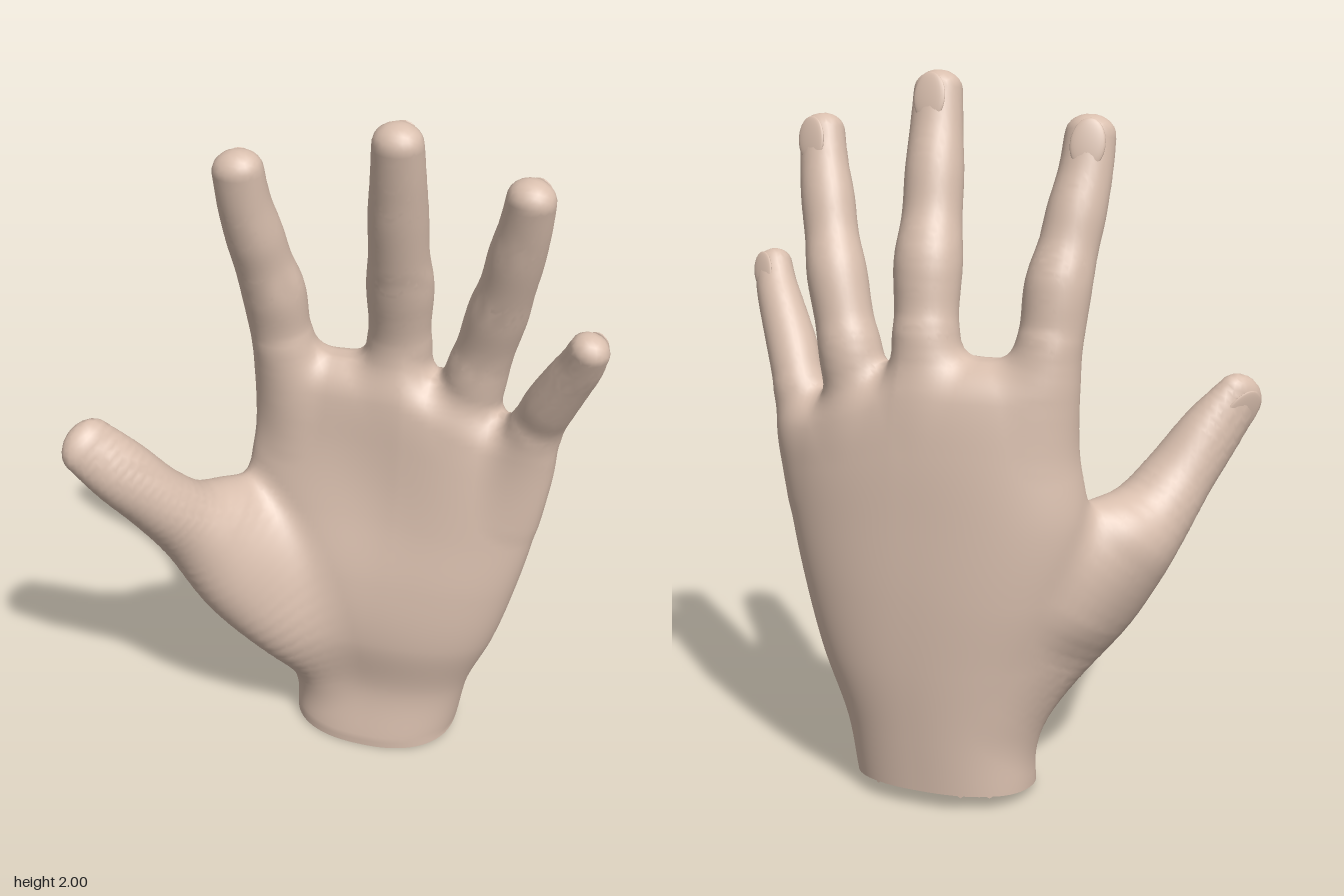
import * as THREE from 'three';

const { clamp, lerp } = THREE.MathUtils;
const skin = new THREE.MeshStandardMaterial({ color: 0xd9bfae, side: THREE.DoubleSide });

// Palm and wrist cross-sections: height, left/right edge x, left/right edge z, back z, front z
const PALM = [
  [0.03, -0.21, 0.30, -0.16, -0.17, -0.355, 0.025],
  [0.20, -0.21, 0.335, -0.16, -0.16, -0.365, 0.0],
  [0.40, -0.27, 0.415, -0.14, -0.15, -0.375, 0.03],
  [0.60, -0.33, 0.47, -0.14, -0.15, -0.375, 0.02],
  [0.80, -0.36, 0.51, -0.14, -0.15, -0.365, -0.015],
  [1.00, -0.335, 0.535, -0.145, -0.15, -0.35, -0.055],
  [1.13, -0.325, 0.54, -0.15, -0.16, -0.33, -0.08],
  [1.25, -0.31, 0.52, -0.16, -0.17, -0.29, -0.11],
];

// Digits: rows of x, y, z, half width, half depth from root to tip; direction of the
// back; and the softness of the blend into the palm
const DIGITS = {
  indexFinger: { blend: 0.06, back: [-0.25, 0, -1], rows: [
    [-0.205, 0.98, -0.175, 0.08, 0.07], [-0.243, 1.24, -0.155, 0.09, 0.09], [-0.256, 1.33, -0.142, 0.087, 0.083],
    [-0.263, 1.44, -0.12, 0.09, 0.088], [-0.277, 1.54, -0.085, 0.081, 0.077], [-0.288, 1.63, -0.055, 0.08, 0.077],
    [-0.30, 1.73, -0.022, 0.073, 0.068], [-0.305, 1.83, 0.003, 0.069, 0.061]] },
  middleFinger: { blend: 0.06, back: [0, 0, -1], rows: [
    [0.06, 0.96, -0.225, 0.08, 0.07], [0.078, 1.25, -0.213, 0.094, 0.09], [0.085, 1.36, -0.195, 0.088, 0.083],
    [0.093, 1.49, -0.165, 0.094, 0.09], [0.102, 1.61, -0.118, 0.083, 0.079], [0.11, 1.73, -0.082, 0.081, 0.078],
    [0.12, 1.84, -0.045, 0.074, 0.068], [0.127, 1.945, -0.015, 0.068, 0.061]] },
  ringFinger: { blend: 0.06, back: [0.15, 0, -1], rows: [
    [0.26, 0.93, -0.215, 0.08, 0.07], [0.303, 1.21, -0.21, 0.089, 0.088], [0.335, 1.33, -0.193, 0.082, 0.08],
    [0.37, 1.45, -0.165, 0.084, 0.083], [0.402, 1.55, -0.13, 0.076, 0.073], [0.428, 1.65, -0.10, 0.076, 0.072],
    [0.452, 1.74, -0.072, 0.07, 0.064], [0.47, 1.83, -0.045, 0.065, 0.058]] },
  littleFinger: { blend: 0.06, back: [0.25, 0, -1], rows: [
    [0.42, 0.84, -0.175, 0.08, 0.07], [0.484, 1.08, -0.163, 0.08, 0.08], [0.512, 1.16, -0.148, 0.073, 0.073],
    [0.543, 1.23, -0.12, 0.072, 0.072], [0.595, 1.33, -0.08, 0.066, 0.064], [0.627, 1.39, -0.053, 0.061, 0.057],
    [0.651, 1.45, -0.025, 0.055, 0.05]] },
  thumb: { blend: 0.14, back: [-0.8, -0.2, -0.55], rows: [
    [-0.12, 0.26, -0.12, 0.09, 0.07], [-0.20, 0.38, -0.045, 0.128, 0.105], [-0.325, 0.56, 0.015, 0.148, 0.128],
    [-0.44, 0.74, 0.085, 0.12, 0.122], [-0.52, 0.88, 0.18, 0.098, 0.10], [-0.588, 0.995, 0.25, 0.095, 0.08],
    [-0.655, 1.093, 0.303, 0.083, 0.053]] },
  thumbWeb: { blend: 0.12, back: [-0.6, 0, -0.8], rows: [
    [-0.28, 0.57, -0.08, 0.09, 0.09], [-0.34, 0.66, -0.045, 0.092, 0.095], [-0.40, 0.735, -0.005, 0.088, 0.09]] },
};

// Smooth minimum: joins two bodies with a fillet of size k
function smoothMin(a, b, k) {
  const h = Math.max(k - Math.abs(a - b), 0) / k;
  return Math.min(a, b) - h * h * k / 4;
}

// Smooth interpolation through rows of numbers
const spline = (times, rows) => new THREE.CubicInterpolant(
  new Float32Array(times), new Float32Array(rows.flat()), rows[0].length);

// Signed distance to the palm
const palmCurve = spline(PALM.map((r) => r[0]), PALM);
function palmField(p) {
  const v = p.y + 0.65 * (p.y / 1.25) ** 3 * Math.max(0, p.x - 0.12); // sloping knuckle line
  const [, xL, xR, zL, zR, zB, zF] = palmCurve.evaluate(v);
  const halfWidth = (xR - xL) / 2, middle = (zL + zR) / 2;
  const u = (p.x - xL) / (xR - xL);
  const dz = p.z - lerp(zL, zR, clamp(u, 0, 1));
  const hollow = 0.035 * Math.exp(-(((p.x - 0.05) / 0.2) ** 2) - ((p.y - 0.85) / 0.25) ** 2);
  const halfDepth = dz < 0 ? middle - zB : zF - hollow - middle;
  const a = Math.abs(u * 2 - 1), b = Math.abs(dz) / halfDepth, n = 2.35;
  const r = (a ** n + b ** n) ** (1 / n) + 1e-6;
  const slope = Math.hypot((a / r) ** (n - 1) / halfWidth, (b / r) ** (n - 1) / halfDepth);
  return -smoothMin(-(r - 1) / (slope + 1e-6), 1.245 - v, 0.1);
}

// Signed distance to a digit: elliptical sections along a smooth axis, with rounded ends
function prepareDigit({ rows, back, blend }) {
  const curve = spline(rows.keys(), rows);
  const last = rows.length - 1, count = last * 6;
  const samples = Array.from({ length: count + 1 }, (_, i) => {
    const [x, y, z, w, d] = curve.evaluate((i / count) * last);
    return { centre: new THREE.Vector3(x, y, z), w, d };
  });
  samples.forEach((s, i) => {
    s.along = samples[Math.min(i + 1, count)].centre.clone()
      .sub(samples[Math.max(i - 1, 0)].centre).normalize();
    s.out = new THREE.Vector3(...back);
    s.out.addScaledVector(s.along, -s.out.dot(s.along)).normalize();
    s.side = s.out.clone().cross(s.along);
  });
  const reach = new THREE.Box3().setFromPoints(samples.map((s) => s.centre)).expandByScalar(0.35);
  const step = new THREE.Vector3(), q = new THREE.Vector3();
  const field = (p) => {
    if (!reach.containsPoint(p)) return 1;
    let best = 1;
    for (let i = 0; i < count; i++) {
      const A = samples[i], B = samples[i + 1];
      step.subVectors(B.centre, A.centre);
      q.subVectors(p, A.centre);
      const t = clamp(q.dot(step) / step.lengthSq(), 0, 1);
      q.addScaledVector(step, -t);
      const w = lerp(A.w, B.w, t), d = lerp(A.d, B.d, t), cap = 0.8 * w;
      const a = lerp(q.dot(A.side), q.dot(B.side), t) / w;
      const b = lerp(q.dot(A.out), q.dot(B.out), t) / d;
      const c = lerp(q.dot(A.along), q.dot(B.along), t) / cap;
      const r = Math.hypot(a, b, c) + 1e-6;
      best = Math.min(best, (r - 1) * r / (Math.hypot(a / w, b / d, c / cap) + 1e-6));
    }
    return best;
  };
  return { field, blend, tip: samples[count] };
}

// Skin drawn over the blended bodies: one vertex per grid cell the surface passes through
function skinGeometry(field) {
  const h = 0.018, nx = 84, ny = 120, nz = 48;
  const strides = [ny * nz, nz, 1];
  // the lowest layer of the grid follows the tilted wrist cut
  const gridPoint = (i, j, k) => {
    const z = -0.43 + k * h;
    return new THREE.Vector3(-0.756 + i * h, 0.027 - 0.13 * (z + 0.17) + (j - 0.5) * h, z);
  };
  const eachPoint = (visit) => {
    for (let i = 0; i < nx - 1; i++)
      for (let j = 0; j < ny - 1; j++)
        for (let k = 0; k < nz - 1; k++) visit(i, j, k, i * strides[0] + j * strides[1] + k);
  };
  const gradient = (p) => new THREE.Vector3(...['x', 'y', 'z'].map((axis) => {
    const a = p.clone(), b = p.clone();
    a[axis] += 0.006;
    b[axis] -= 0.006;
    return (field(a) - field(b)) / 0.012;
  }));

  const value = new Float32Array(nx * ny * nz).fill(1);
  eachPoint((i, j, k, id) => { value[id] = field(gridPoint(i, j, k)); });

  const vertexOf = new Int32Array(value.length).fill(-1);
  const position = [], normal = [], index = [];
  eachPoint((i, j, k, id) => {
    const p = new THREE.Vector3();
    let crossings = 0;
    const at = (c) => value[id + (c & 1) * strides[0] + (c >> 1 & 1) * strides[1] + (c >> 2)];
    const corner = (c) => gridPoint(i + (c & 1), j + (c >> 1 & 1), k + (c >> 2));
    for (let c = 0; c < 8; c++) {
      for (const bit of [1, 2, 4]) {
        if (c & bit || at(c) < 0 === at(c | bit) < 0) continue;
        p.add(corner(c).lerp(corner(c | bit), at(c) / (at(c) - at(c | bit))));
        crossings++;
      }
    }
    if (!crossings) return;
    p.divideScalar(crossings);
    // settle the vertex exactly on the surface
    for (let n = 0; n < 2; n++) {
      const g = gradient(p);
      p.addScaledVector(g, -field(p) / Math.max(g.lengthSq(), 0.3));
    }
    vertexOf[id] = position.length / 3;
    position.push(...p);
    normal.push(...gradient(p).normalize());
  });

  // a quad across every grid edge that the surface cuts
  eachPoint((i, j, k, id) => {
    for (let axis = 0; axis < 3; axis++) {
      const inside = value[id] < 0;
      if (inside === value[id + strides[axis]] < 0) continue;
      const u = strides[(axis + 1) % 3], v = strides[(axis + 2) % 3];
      const [a, b, c, d] = [id - u - v, id - v, id, id - u].map((cell) => vertexOf[cell] ?? -1);
      if (Math.min(a, b, c, d) < 0) continue;
      index.push(...(inside ? [a, b, c, a, c, d] : [a, c, b, a, d, c]));
    }
  });
  const geometry = new THREE.BufferGeometry();
  geometry.setAttribute('position', new THREE.Float32BufferAttribute(position, 3));
  geometry.setAttribute('normal', new THREE.Float32BufferAttribute(normal, 3));
  return geometry.setIndex(index);
}

// Nail: a flat plate sunk into the back of a digit's tip
const nailGeometry = ({ centre, along, out, side, w, d }) => new THREE.SphereGeometry(1, 24, 16)
  .scale(w * 0.68, w, d * 0.17)
  .applyMatrix4(new THREE.Matrix4().makeBasis(side, along, out))
  .translate(...centre.clone().addScaledVector(out, d * 0.9).addScaledVector(along, -w * 0.5));

export function createModel() {
  const hand = new THREE.Group();
  hand.name = 'hand';
  const add = (name, geometry) => {
    const mesh = new THREE.Mesh(geometry, skin);
    mesh.name = name;
    hand.add(mesh);
  };
  const digits = Object.entries(DIGITS).map(([name, d]) => ({ name, ...prepareDigit(d) }));
  add('handSkin', skinGeometry((p) => digits.reduce(
    (f, digit) => smoothMin(f, digit.field(p), digit.blend), palmField(p))));
  for (const { name, tip } of digits) {
    if (name !== 'thumbWeb') add(name + 'Nail', nailGeometry(tip));
  }
  return hand;
}
